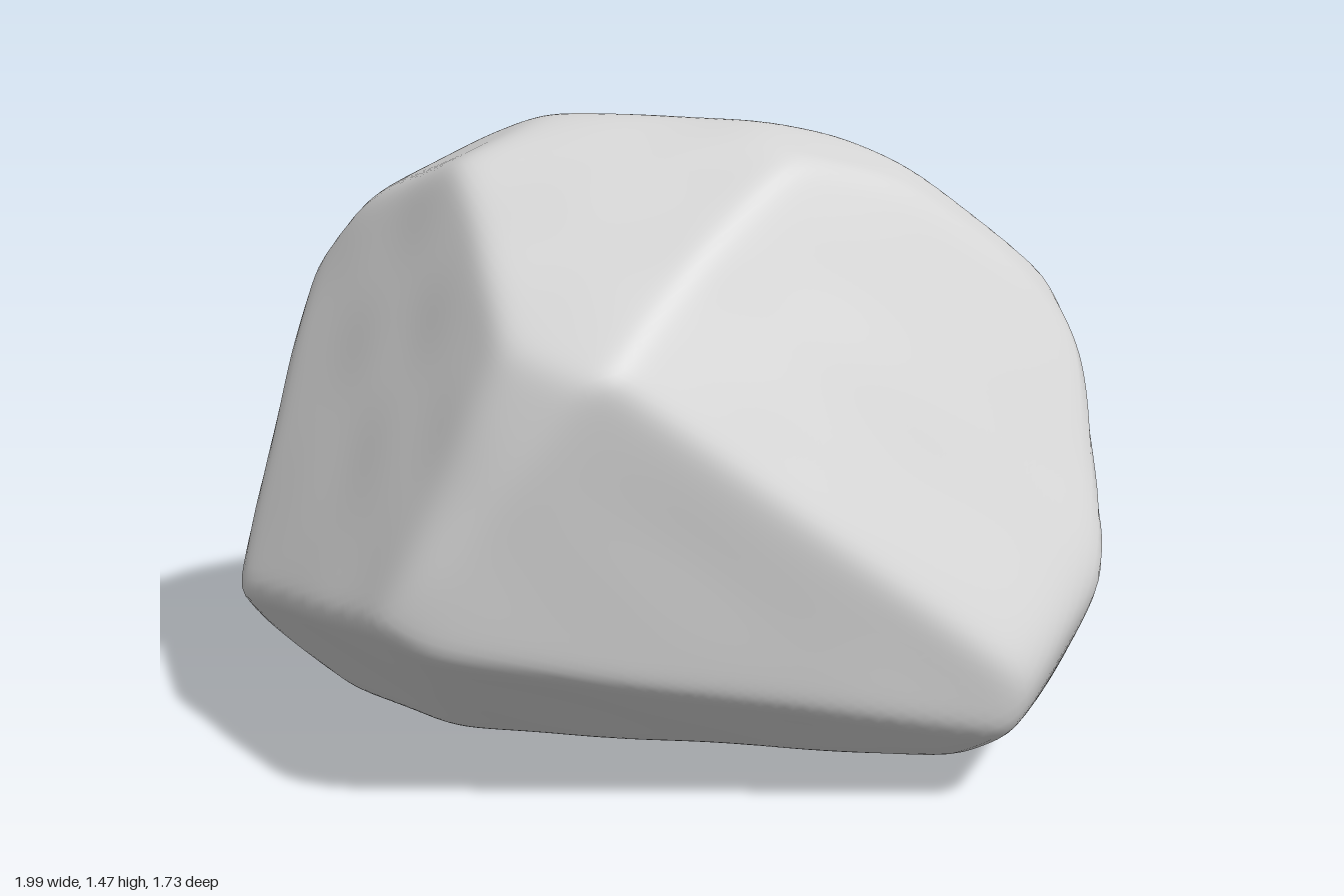
import * as THREE from 'three';
import { mergeVertices } from 'three/addons/utils/BufferGeometryUtils.js';

// Each cut is a plane through the boulder: outward normal (x, y, z) and distance from the origin.
const BACK_CUTS = [
  [-0.08, 0.69, -0.72, 1.002],   // broad back slope
  [-0.35, 0.66, -0.62, 1.11],    // bevel towards the -x shoulder
  [0.295, 0.615, -0.73, 1.018],  // bevel beside the back slope
  [0.767, -0.15, -0.623, 0.56],  // back, +x side
  [-0.33, -0.35, -0.88, 0.61],   // back wall
  [0, -0.29, -0.957, 0.68],      // blunt rear corner
  [-0.62, 0, -0.78, 0.98],       // back, -x corner
  [-0.6, 0.6, -0.5, 1.19],       // back, -x shoulder
];
const FRONT_CUTS = [
  [0.27, -0.086, 0.958, 0.686],  // front face
  [0.61, 0.44, 0.66, 1.0],       // upper front, +x side
  [0, 0.85, 0.53, 1.377],        // brow
  [0, 0.78, 0.63, 1.34],         // lower brow
  [-0.67, 0.4, 0.62, 1.08],      // front, -x side
  [-0.25, 0.3, 0.92, 1.09],      // bevel beside the front face
  [-0.1, 0, 1, 0.92],            // foremost corner
];
const SIDE_CUTS = [
  [-0.98, 0.14, -0.05, 1.032],   // -x side
  [-1, 0, 0, 1.01],              // -x extreme
  [-0.75, 0.66, 0, 1.39],        // -x shoulder, lower
  [-0.45, 0.9, 0, 1.475],        // -x shoulder, upper
  [0.33, 0.94, 0, 1.45],         // +x shoulder, upper
  [0.62, 0.78, 0, 1.38],         // +x shoulder, middle
  [0.8, 0.6, 0, 1.315],          // +x shoulder, lower
  [1, 0, 0, 1.01],               // +x extreme
  [0.85, 0, 0.5, 0.98],          // +x front corner
];
const TOP_CUTS = [
  [0, 1, 0, 1.487],              // crown
  [0, 0.97, 0.24, 1.47],         // crown, front
  [0, 0.92, -0.39, 1.34],        // crown, back
];
const LOWER_CUTS = [
  [0.03, -0.79, 0.61, 0.18],     // undercut front
  [-0.4, -0.7, 0.6, 0.385],      // undercut front, -x corner
  [0.13, -1, -0.24, -0.055],     // underside
  [0, -1, 0.15, 0],              // underside, front
  [0, -1, 0, 0],                 // ground contact
  [-0.62, -0.556, -0.55, 0.505], // undercut back, -x corner
  [-0.7, -0.7, 0, 0.565],        // undercut -x side
  [-0.9, -0.43, 0, 0.795],       // undercut -x side, upper
  [0.9, -0.4, 0.15, 0.745],      // undercut +x side
  [0.6, -0.8, 0.1, 0.395],       // lower +x edge
];
const CUTS = [...BACK_CUTS, ...FRONT_CUTS, ...SIDE_CUTS, ...TOP_CUTS, ...LOWER_CUTS];
const CENTRE = new THREE.Vector3(0, 0.7, 0);
const SHARPNESS = 60;
const HOLLOW = new THREE.Vector3(-0.3, -0.14, -0.71).normalize(); // shallow hollow in the back wall

// Distance from the centre to the softened hull in direction d
function radius(d) {
  let sum = 0;
  for (const [x, y, z, dist] of CUTS) {
    const facing = (x * d.x + y * d.y + z * d.z) / (dist - y * CENTRE.y);
    if (facing > 0) sum += facing ** SHARPNESS;
  }
  const lumps = Math.sin(9 * d.x + 4 * d.y) * Math.sin(8 * d.y - 5 * d.z + 1) * Math.sin(10 * d.z + 3 * d.x);
  const hollow = Math.exp(25 * (d.dot(HOLLOW) - 1));
  return sum ** (-1 / SHARPNESS) * (1 + 0.004 * lumps - 0.1 * hollow);
}

function boulderGeometry() {
  let geo = new THREE.IcosahedronGeometry(1, 48);
  geo.deleteAttribute('uv');
  geo.deleteAttribute('normal');
  geo = mergeVertices(geo, 1e-5);
  const pos = geo.attributes.position;
  const v = new THREE.Vector3();
  for (let i = 0; i < pos.count; i++) {
    v.fromBufferAttribute(pos, i).normalize();
    v.multiplyScalar(radius(v)).add(CENTRE);
    pos.setXYZ(i, v.x, v.y, v.z);
  }
  geo.computeVertexNormals();
  return geo;
}

export function createModel() {
  const stone = new THREE.MeshStandardMaterial({ color: 0xd6d6d6 });
  stone.name = 'stone grey';
  const boulder = new THREE.Mesh(boulderGeometry(), stone);
  boulder.name = 'boulder';
  const group = new THREE.Group();
  group.name = 'rock';
  group.add(boulder);
  return group;
}
